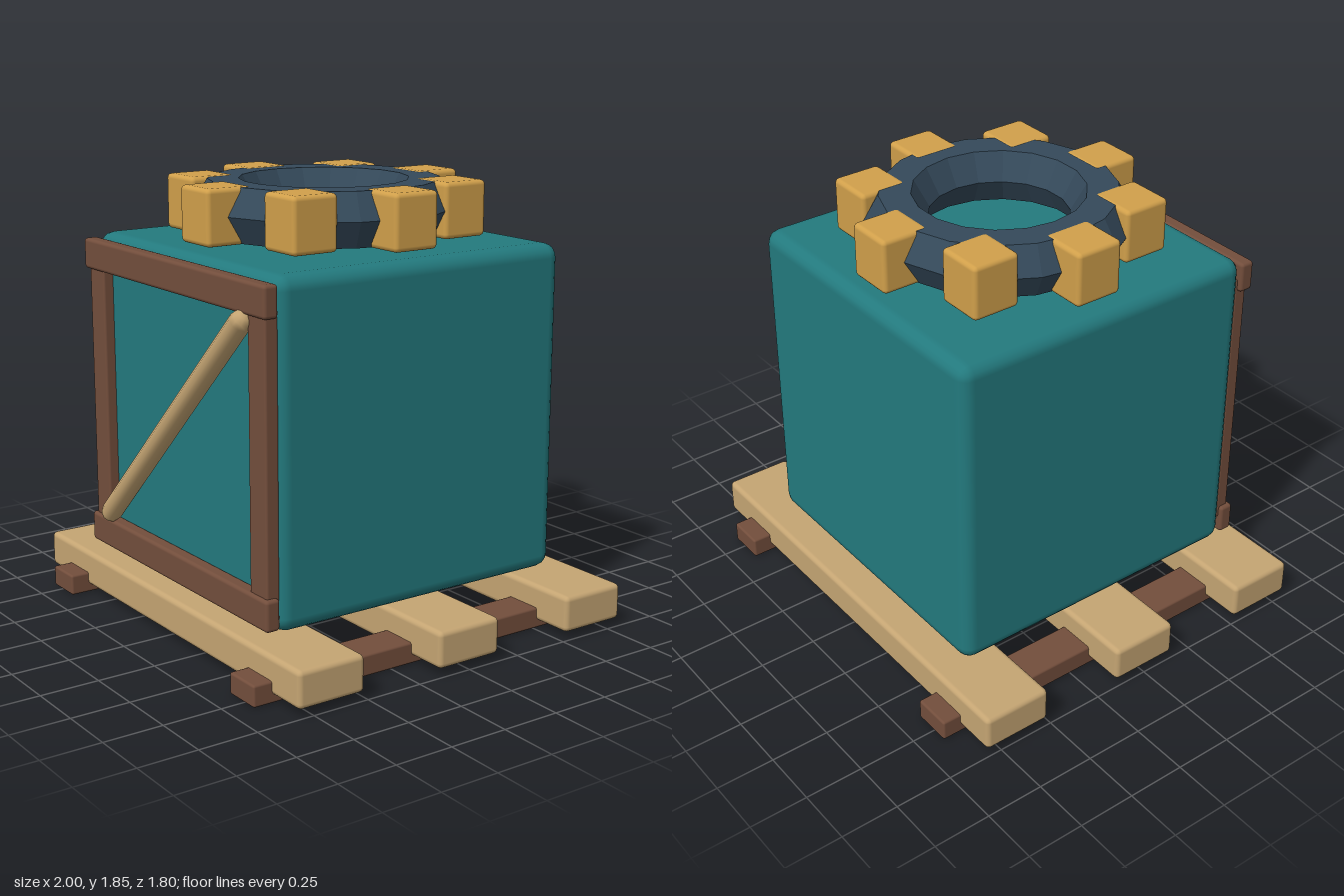
import * as THREE from 'three';
import { RoundedBoxGeometry } from 'three/addons/geometries/RoundedBoxGeometry.js';

const paint = (name, color, flatShading = false) => {
  const m = new THREE.MeshStandardMaterial({ color, flatShading });
  m.name = name;
  return m;
};

export function createModel() {
  const teal = paint('teal', 0x237a7e);
  const brown = paint('brown wood', 0x734e3c);
  const tan = paint('tan wood', 0xc5a573);
  const gold = paint('gold', 0xd1a04b);
  const slate = paint('slate', 0x34495a, true);
  const model = new THREE.Group();
  model.name = 'crateOnPallet';

  const group = (name) => {
    const g = new THREE.Group();
    g.name = name;
    model.add(g);
    return g;
  };
  const box = (parent, name, material, size, pos, radius = 0.015) => {
    const mesh = new THREE.Mesh(new RoundedBoxGeometry(...size, 2, radius), material);
    mesh.name = name;
    mesh.position.set(...pos);
    parent.add(mesh);
    return mesh;
  };

  // Pallet: two skids under three planks
  const pallet = group('pallet');
  for (const side of [-1, 1]) {
    box(pallet, 'skid', brown, [0.17, 0.09, 1.8], [side * 0.735, 0.045, 0], 0.01);
  }
  for (const z of [-0.665, 0, 0.665]) {
    box(pallet, 'plank', tan, [2, 0.155, 0.305], [0, 0.11, z], 0.022);
  }

  // Crate body
  box(model, 'crateBody', teal, [1.4, 1.4, 1.4], [0, 0.9, 0], 0.06);

  // Front frame with a rounded diagonal brace
  const frame = group('frontFrame');
  for (const side of [-1, 1]) {
    box(frame, 'frameRail', brown, [1.4, 0.13, 0.065], [0, 0.9 + side * 0.61, 0.728]);
    box(frame, 'frameStile', brown, [0.12, 1.2, 0.06], [side * 0.62, 0.9, 0.715], 0.01);
  }
  const rise = 1.02, run = 1.06;
  const brace = new THREE.Mesh(new THREE.CapsuleGeometry(0.046, Math.hypot(rise, run), 3, 10), tan);
  brace.name = 'diagonalBrace';
  brace.position.set(0, 0.905, 0.754);
  brace.rotation.z = -Math.atan2(run, rise);
  frame.add(brace);

  // Gear on top: six-sided ring section with eight square teeth
  const gear = group('gear');
  gear.position.y = 1.737;
  const ring = new THREE.Mesh(new THREE.TorusGeometry(0.42, 0.13, 6, 18), slate);
  ring.name = 'gearRing';
  ring.rotation.x = Math.PI / 2;
  gear.add(ring);
  for (let i = 0; i < 8; i++) {
    const a = (i * Math.PI) / 4;
    box(gear, 'gearTooth', gold, [0.212, 0.232, 0.212],
      [Math.cos(a) * 0.526, 0, Math.sin(a) * 0.526], 0.02);
  }
  return model;
}
